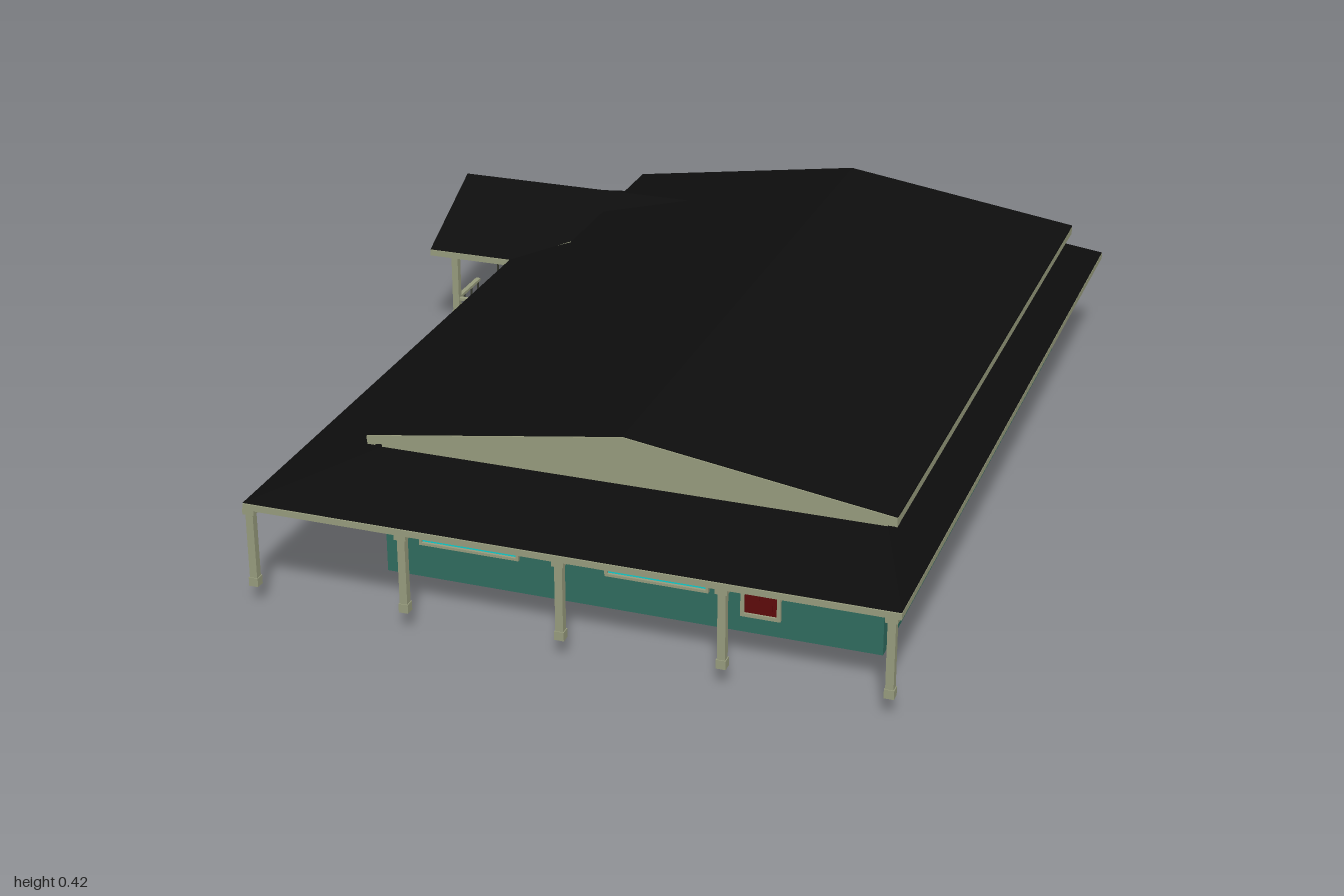
import * as THREE from 'three';

const mat = (color, side = THREE.FrontSide) =>
  new THREE.MeshStandardMaterial({ color, side, flatShading: true });
const TEAL = mat(0x2f6b5e), TRIM = mat(0x969a7c), GLASS = mat(0x0fcccc), RED = mat(0x5c0a0a);
const ROOF = mat(0x0d0d0d, THREE.DoubleSide), SOFFIT = mat(0x969a7c, THREE.DoubleSide), IRON = mat(0x33352c);

// House footprint and roof edges
const X0 = -0.39, X1 = 0.72, Z0 = -0.9, Z1 = 0.76;
const EX0 = -0.6, EX1 = 0.815, EAVE = 0.243, RIDGE_X = 0.165;

function add(parent, name, geometry, material, x = 0, y = 0, z = 0) {
  const m = new THREE.Mesh(geometry, material);
  m.name = name;
  m.position.set(x, y, z);
  parent.add(m);
  return m;
}
const box = (p, name, material, w, h, d, x, y, z) =>
  add(p, name, new THREE.BoxGeometry(w, h, d), material, x, y, z);

const outline = (pts) => new THREE.Shape(pts.map(([x, y]) => new THREE.Vector2(x, y)));
const extrude = (shape, depth) => new THREE.ExtrudeGeometry(shape, { depth, bevelEnabled: false });

// Flat-lying rectangular ring; each rectangle is [x0, x1, z0, z1]
function ring(outer, inner, height) {
  const rect = ([a, b, c, d]) => [[a, -d], [b, -d], [b, -c], [a, -c]];
  const shape = outline(rect(outer));
  shape.holes.push(outline(rect(inner)));
  return extrude(shape, height).rotateX(-Math.PI / 2);
}

// Convex polygon as a fan of triangles
function polygon(pts) {
  const g = new THREE.BufferGeometry();
  g.setAttribute('position', new THREE.Float32BufferAttribute(pts.flat(), 3));
  const index = [];
  for (let i = 1; i < pts.length - 1; i++) index.push(0, i, i + 1);
  g.setIndex(index);
  g.computeVertexNormals();
  return g;
}

// Rectangular frame around an opening, passing through the wall
function frame(g, w, h, t, depth) {
  for (const s of [-1, 1]) {
    box(g, 'frameSide', TRIM, t, h, depth, s * (w - t) / 2, 0, 0);
    box(g, 'frameRail', TRIM, w, t, depth, 0, s * (h - t) / 2, 0);
  }
}

function makeWindow(a, b, y0, y1) {
  const g = new THREE.Group(), w = b - a, h = y1 - y0;
  g.name = 'window';
  box(g, 'glass', GLASS, w - 0.008, h - 0.008, 0.005, 0, 0, 0.004);
  frame(g, w, h, 0.006, 0.026);
  g.userData.centre = [(a + b) / 2, (y0 + y1) / 2];
  return g;
}

function makeDoor(a, b) {
  const g = new THREE.Group(), w = b - a, h = 0.17;
  g.name = 'door';
  box(g, 'doorPanel', RED, w - 0.01, h - 0.01, 0.006, 0, 0, 0.005);
  frame(g, w, h, 0.008, 0.026);
  // Glazed upper half, three by three panes
  for (let i = -1; i <= 1; i++) for (let j = 0; j < 3; j++)
    box(g, 'pane', GLASS, 0.017, 0.018, 0.004, i * 0.02, 0.02 + j * 0.022, 0.0075);
  for (const s of [-1, 1]) box(g, 'lowerPanel', RED, 0.022, 0.05, 0.003, s * 0.015, -0.04, 0.009);
  g.userData.centre = [(a + b) / 2, 0.125];
  return g;
}

// Post with base and capital
function post(parent, x, z) {
  const g = new THREE.Group();
  g.name = 'post';
  box(g, 'shaft', TRIM, 0.017, 0.185, 0.017, 0, 0.1375, 0);
  box(g, 'base', TRIM, 0.021, 0.02, 0.021, 0, 0.055, 0);
  box(g, 'capital', TRIM, 0.026, 0.014, 0.026, 0, 0.222, 0);
  g.position.set(x, 0, z);
  parent.add(g);
}

function railing(parent, xa, za, xb, zb) {
  const g = new THREE.Group(), len = Math.hypot(xb - xa, zb - za), n = Math.max(2, Math.round(len / 0.05));
  g.name = 'railing';
  box(g, 'handrail', TRIM, len, 0.007, 0.012, 0, 0.097, 0);
  for (let i = 0; i <= n; i++)
    box(g, 'baluster', IRON, 0.004, 0.05, 0.004, (i / n - 0.5) * (len - 0.006), 0.07, 0);
  g.position.set((xa + xb) / 2, 0, (za + zb) / 2);
  g.rotation.y = -Math.atan2(zb - za, xb - xa);
  parent.add(g);
}

export function createModel() {
  const model = new THREE.Group();
  model.name = 'house';

  // Walls, open underneath
  add(model, 'walls', ring([X0, X1, Z0, Z1], [X0 + 0.01, X1 - 0.01, Z0 + 0.01, Z1 - 0.01], 0.235), TEAL);

  // Windows and doors on each wall
  const faces = {
    front: (u) => [u, Z1 - 0.005, 0], back: (u) => [u, Z0 + 0.005, Math.PI],
    left: (u) => [X1 - 0.005, u, Math.PI / 2], right: (u) => [X0 + 0.005, u, -Math.PI / 2],
  };
  const mount = (side, item) => {
    const [u, y] = item.userData.centre;
    const [x, z, turn] = faces[side](u);
    item.position.set(x, y, z);
    item.rotation.y = turn;
    model.add(item);
  };
  for (const [a, b, y0] of [[-0.31, -0.08, 0.08], [0.115, 0.345, 0.08], [0.525, 0.695, 0.108]])
    mount('front', makeWindow(a, b, y0, 0.2));
  for (const a of [-0.31, 0.07, 0.46]) mount('back', makeWindow(a, a + 0.23, 0.08, 0.2));
  for (const a of [0.44, 0.045, -0.395, -0.81]) {
    mount('left', makeWindow(a, a + 0.23, 0.08, 0.2));
    if (a > -0.8) mount('right', makeWindow(a, a + 0.23, 0.08, 0.2));
  }
  mount('front', makeDoor(0.415, 0.502));
  mount('left', makeDoor(-0.535, -0.448));
  mount('right', makeDoor(-0.84, -0.753));

  // Lower skirt roof: flat soffit and four sloping planes
  add(model, 'eaveSoffit', ring([EX0, EX1, -1, 1], [X0, X1, Z0, Z1], 0.014), TRIM, 0, 0.227, 0);
  const out = [[EX0, -1], [EX1, -1], [EX1, 1], [EX0, 1]];
  const inn = [[X0, Z0], [X1, Z0], [X1, Z1], [X0, Z1]];
  for (let i = 0; i < 4; i++) {
    const j = (i + 1) % 4, at = ([x, z], y) => [x, y, z];
    add(model, 'skirtRoof', polygon([at(out[i], EAVE), at(inn[i], 0.297), at(inn[j], 0.297), at(out[j], EAVE)]), ROOF);
  }

  // Upper side walls and gable walls
  for (const x of [X0 + 0.005, X1 - 0.005])
    box(model, 'upperWall', TRIM, 0.01, 0.09, Z1 - Z0, x, 0.277, (Z0 + Z1) / 2);
  const gable = outline([[X0, 0.235], [X1, 0.235], [X1, 0.322], [RIDGE_X, 0.402], [X0, 0.322]]);
  for (const z of [Z0, Z1 - 0.01]) add(model, 'gableWall', extrude(gable, 0.01), TRIM, 0, 0, z);

  // Main gable roof with trim along its edges
  const UX0 = -0.412, UX1 = 0.746, UZ0 = -0.93, UZ1 = 0.785;
  const chevron = (top, t) => outline([
    [UX0, 0.332 + top - t], [RIDGE_X, 0.418 + top - t], [UX1, 0.332 + top - t],
    [UX1, 0.332 + top], [RIDGE_X, 0.418 + top], [UX0, 0.332 + top]]);
  add(model, 'mainRoof', extrude(chevron(0.002, 0.008), UZ1 - UZ0 - 0.002), ROOF, 0, 0, UZ0 + 0.001);
  for (const z of [UZ0, UZ1 - 0.025]) {
    add(model, 'gableTrim', extrude(chevron(-0.001, 0.02), 0.025), TRIM, 0, 0, z);
    const lip = z < 0 ? z - 0.002 : z + 0.021;
    add(model, 'gableTrimLip', extrude(chevron(0, 0.008), 0.006), TRIM, 0, 0, lip);
  }
  for (const x of [UX0 + 0.009, UX1 - 0.009])
    box(model, 'eaveTrim', TRIM, 0.018, 0.018, UZ1 - UZ0, x, 0.321, (UZ0 + UZ1) / 2);

  // Posts along the front and the right-hand gallery
  for (let i = 0; i < 5; i++) post(model, -0.59 + i * 0.346, 0.985);
  for (let i = 1; i < 4; i++) post(model, -0.59, 0.985 - i * 0.369);

  // Side porch
  const porch = new THREE.Group();
  porch.name = 'sidePorch';
  model.add(porch);
  const PZ = -0.7, PX = -0.82;
  for (const s of [-1, 1]) {
    const slope = (dy) => polygon([
      [PX, 0.365 + dy, PZ], [PX, 0.243 + dy, PZ + s * 0.25], [EX0, 0.243 + dy, PZ + s * 0.25],
      [-0.4, 0.302 + dy, PZ + s * 0.145], [-0.2, 0.365 + dy, PZ]]);
    add(porch, 'porchRoof', slope(0), ROOF);
    add(porch, 'porchSoffit', slope(-0.012), SOFFIT);
    add(porch, 'porchBargeboard', polygon([
      [PX, 0.364, PZ], [PX, 0.346, PZ], [PX, 0.225, PZ + s * 0.25], [PX, 0.242, PZ + s * 0.25]]), SOFFIT);
    box(porch, 'porchEaveTrim', TRIM, EX0 - PX, 0.015, 0.008, (PX + EX0) / 2, 0.234, PZ + s * 0.246);
    box(porch, 'porchBeam', TRIM, 0.38, 0.014, 0.018, -0.58, 0.234, PZ + s * 0.2);
    for (const x of [-0.77, -0.59]) post(porch, x, PZ + s * 0.205);
    // Rails leave a gap for the entrance
    railing(porch, -0.77, PZ + s * 0.205, s < 0 ? -0.47 : X0, PZ + s * 0.205);
    railing(porch, -0.77, PZ + s * 0.205, -0.77, PZ + s * 0.065);
  }
  add(porch, 'porchGable', polygon([[-0.775, 0.23, PZ - 0.22], [-0.775, 0.23, PZ + 0.22], [-0.775, 0.35, PZ]]), SOFFIT);
  return model;
}
